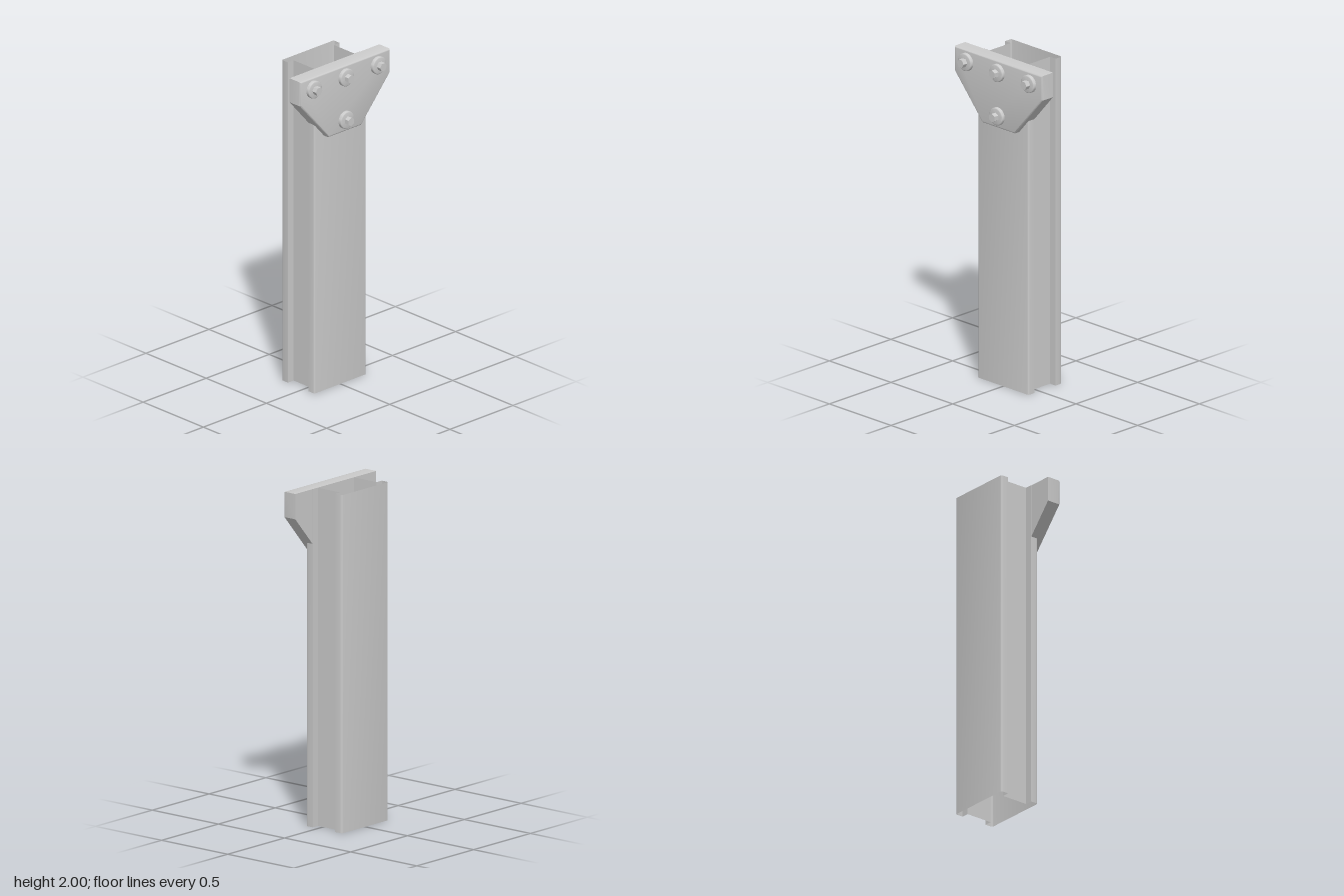
import * as THREE from 'three';
import { toCreasedNormals } from 'three/addons/utils/BufferGeometryUtils.js';

const material = new THREE.MeshStandardMaterial({ color: 0xcccccc });
const thin = new THREE.MeshStandardMaterial({ color: 0xcccccc, side: THREE.DoubleSide });

// Joins equal-length counter-clockwise rings [{ z, pts }] along z, optionally with flat ends.
function loft(rings, capped) {
  const pos = [];
  const n = rings[0].pts.length;
  const put = (ring, i) => pos.push(ring.pts[i % n].x, ring.pts[i % n].y, ring.z);
  for (let k = 0; k + 1 < rings.length; k++) {
    const a = rings[k], b = rings[k + 1];
    for (let i = 0; i < n; i++) {
      put(a, i); put(a, i + 1); put(b, i + 1);
      put(a, i); put(b, i + 1); put(b, i);
    }
  }
  if (capped) {
    const first = rings[0], last = rings[rings.length - 1];
    for (let i = 1; i + 1 < n; i++) {
      put(first, 0); put(first, i + 1); put(first, i);
      put(last, 0); put(last, i); put(last, i + 1);
    }
  }
  const geo = new THREE.BufferGeometry();
  geo.setAttribute('position', new THREE.Float32BufferAttribute(pos, 3));
  return toCreasedNormals(geo, 0.6);
}

// Shrinks a convex counter-clockwise polygon by d on every side.
function inset(pts, d) {
  const n = pts.length;
  return pts.map((p, i) => {
    const u = p.clone().sub(pts[(i + n - 1) % n]).normalize();
    const v = pts[(i + 1) % n].clone().sub(p).normalize();
    const n1 = new THREE.Vector2(-u.y, u.x), n2 = new THREE.Vector2(-v.y, v.x);
    const k = d / (1 + n1.dot(n2));
    return p.clone().add(n1.add(n2).multiplyScalar(k));
  });
}

function add(parent, name, geo, mat = material) {
  const mesh = new THREE.Mesh(geo, mat);
  mesh.name = name;
  parent.add(mesh);
  return mesh;
}

// Open-ended sheet post: two flanges with a recessed channel on each side.
function postGeometry() {
  const W = 0.205, web = 0.16, r = 0.01;
  const half = [];
  const corner = (y, from) => {
    for (let i = 0; i <= 3; i++) {
      const t = from + (i / 3) * Math.PI / 2;
      half.push(new THREE.Vector2(W - r + r * Math.cos(t), y + r * Math.sin(t)));
    }
  };
  corner(-0.09 + r, -Math.PI / 2);
  for (const [x, y] of [[W, -0.04], [web, -0.04], [web, 0.13], [W, 0.13]]) half.push(new THREE.Vector2(x, y));
  corner(0.18 - r, 0);
  const other = half.map(p => new THREE.Vector2(-p.x, p.y)).reverse();
  const pts = [...half, ...other];
  return loft([{ z: 0, pts }, { z: 2, pts }], false).rotateX(-Math.PI / 2);
}

// Tapered plate with its front edges rounded.
function plateGeometry() {
  const pts = [[-0.13, 1.59], [0.13, 1.59], [0.356, 1.85], [0.356, 2], [-0.356, 2], [-0.356, 1.85]]
    .map(([x, y]) => new THREE.Vector2(x, y));
  const r = 0.01;
  const rings = [{ z: 0.042, pts }];
  for (let i = 0; i <= 3; i++) {
    const t = (i / 3) * Math.PI / 2;
    rings.push({ z: 0.131 - r + r * Math.sin(t), pts: inset(pts, r * (1 - Math.cos(t))) });
  }
  return loft(rings, true);
}

// Round washer with a softened rim.
function washerGeometry() {
  const R = 0.053, h = 0.022, r = 0.006;
  const profile = [new THREE.Vector2(0, 0), new THREE.Vector2(R, 0)];
  for (let i = 0; i <= 3; i++) {
    const t = (i / 3) * Math.PI / 2;
    profile.push(new THREE.Vector2(R - r + r * Math.cos(t), h - r + r * Math.sin(t)));
  }
  profile.push(new THREE.Vector2(0, h));
  return toCreasedNormals(new THREE.LatheGeometry(profile, 32), 0.6).rotateX(Math.PI / 2);
}

export function createModel() {
  const model = new THREE.Group();
  model.name = 'bracketPost';

  add(model, 'post', postGeometry(), thin);
  add(model, 'bracketPlate', plateGeometry());

  // Four bolts: a washer and a hexagonal head each
  const washer = washerGeometry();
  const hex = toCreasedNormals(new THREE.CylinderGeometry(0.026, 0.026, 0.032, 6), 0.3).rotateX(Math.PI / 2);
  const bolts = [[-0.255, 1.93, Math.PI / 6], [0, 1.93, 0], [0.255, 1.93, Math.PI / 6], [0, 1.665, 0]];
  for (const [x, y, turn] of bolts) {
    const bolt = new THREE.Group();
    bolt.name = 'bolt';
    add(bolt, 'washer', washer);
    const head = add(bolt, 'hexHead', hex);
    head.position.z = 0.036;
    head.rotation.z = turn;
    bolt.position.set(x, y, 0.13);
    model.add(bolt);
  }
  return model;
}
